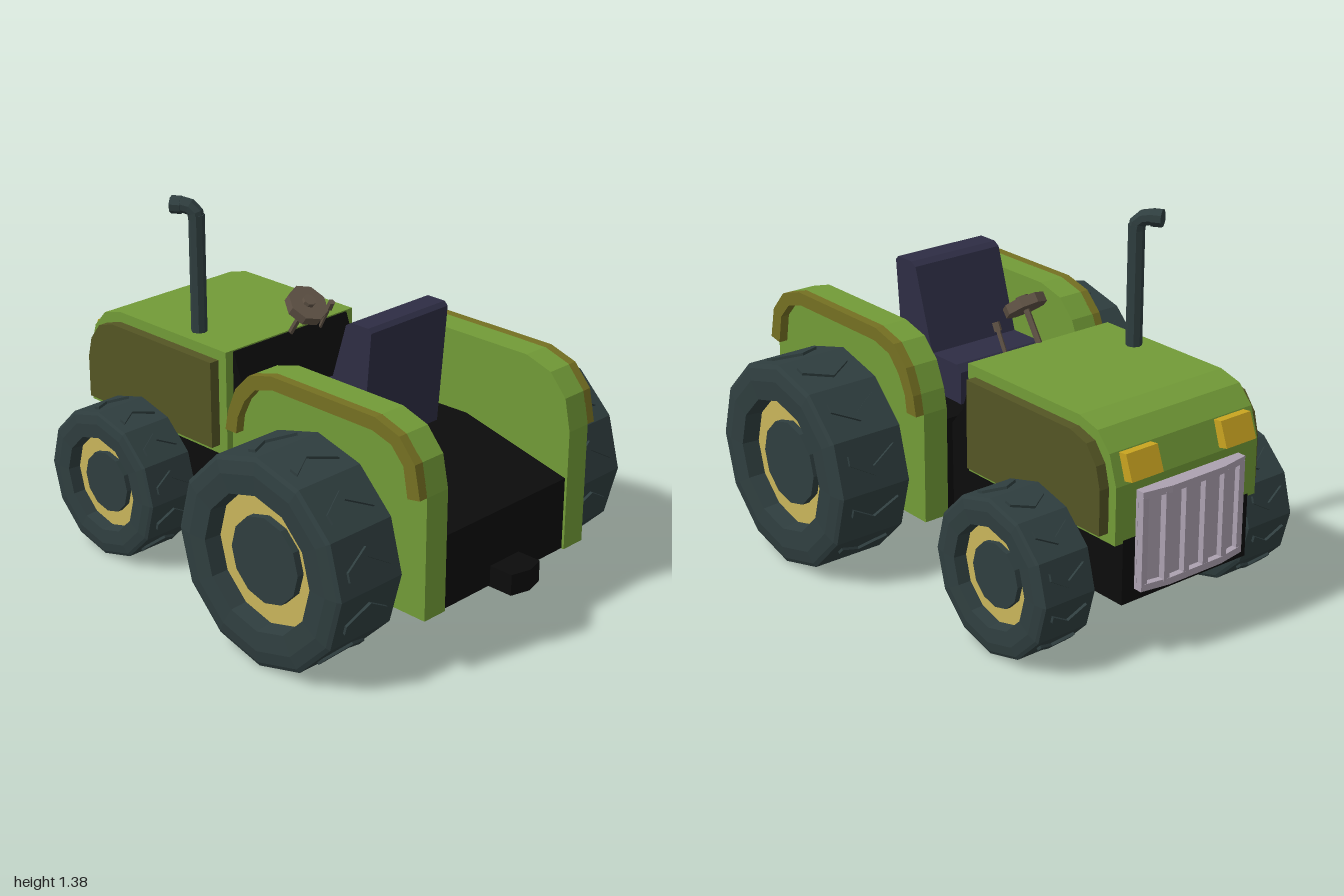
import * as THREE from 'three';
import { mergeGeometries } from 'three/addons/utils/BufferGeometryUtils.js';

const paint = (name, color) => {
  const m = new THREE.MeshStandardMaterial({ color });
  m.name = name;
  return m;
};
const GREEN = paint('bodyGreen', 0x729b37);
const OLIVE = paint('panelOlive', 0x545524);
const TRIM = paint('trimOlive', 0x757022);
const BLACK = paint('chassisBlack', 0x0c0c0c);
const RUBBER = paint('darkRubber', 0x2f3e3f);
const RIM = paint('rimYellow', 0xc9b55b);
const LAMP = paint('lampYellow', 0xc9a420);
const GRILLE = paint('grilleGrey', 0xaca1b0);
const SEAT = paint('seatNavy', 0x2e2d44);
const BROWN = paint('controlBrown', 0x5f5245);

// Faceted normals on the geometry itself
function flat(geo) {
  const g = geo.index ? geo.toNonIndexed() : geo;
  g.computeVertexNormals();
  return g;
}

function add(parent, name, geo, material) {
  const mesh = new THREE.Mesh(flat(geo), material);
  mesh.name = name;
  parent.add(mesh);
  return mesh;
}

function extrude(points, depth) {
  const shape = new THREE.Shape(points.map(([x, y]) => new THREE.Vector2(x, y)));
  return new THREE.ExtrudeGeometry(shape, { depth, bevelEnabled: false });
}

// Side profile of [z, y] points, running from x0 to x1
const sideProfile = (points, x0, x1) =>
  extrude(points.map(([z, y]) => [-z, y]), x1 - x0).rotateY(Math.PI / 2).translate(x0, 0, 0);

// Plan outline of [x, z] points, running from y0 to y1
const planProfile = (points, y0, y1) =>
  extrude(points.map(([x, z]) => [x, -z]), y1 - y0).rotateX(-Math.PI / 2).translate(0, y0, 0);

const box = (w, h, d, x, y, z) => new THREE.BoxGeometry(w, h, d).translate(x, y, z);

// Straight rod between two points
function rod(a, b, r, sides = 6) {
  const from = new THREE.Vector3(...a), dir = new THREE.Vector3(...b).sub(from);
  const geo = new THREE.CylinderGeometry(r, r, dir.length(), sides).translate(0, dir.length() / 2, 0);
  geo.applyQuaternion(new THREE.Quaternion().setFromUnitVectors(new THREE.Vector3(0, 1, 0), dir.normalize()));
  return geo.translate(...a);
}

function makeWheel(name, side, x, y, z, R, w) {
  const N = 12;
  const wheel = new THREE.Group();
  wheel.name = name;
  wheel.position.set(side * x, y, z);

  const half = [[1, 0.9], [0.96, 0.95], [0.84, 1], [0.65, 0.97], [0.63, 0.5]];
  const profile = [...half.map(([r, h]) => [r, -h]).reverse(), ...half]
    .map(([r, h]) => new THREE.Vector2(r * R, h * w));
  const turn = g => g.rotateZ(-side * Math.PI / 2);
  add(wheel, 'tyre', turn(new THREE.LatheGeometry(profile, N)), RUBBER);
  add(wheel, 'rim', turn(new THREE.CylinderGeometry(0.64 * R, 0.64 * R, 1.1 * w, N)), RIM);
  add(wheel, 'hub', turn(new THREE.CylinderGeometry(0.41 * R, 0.41 * R, 1.45 * w, N)), RUBBER);

  // Raised chevron on each flat of the tread
  const a = 0.62 * w, h = 0.12 * R, t = 0.09 * R;
  const outline = [[-a, -h], [0, h - t], [a, -h], [a, -h + t], [0, h], [-a, -h + t]];
  const lugs = [];
  for (let i = 0; i < N; i++) {
    lugs.push(extrude(outline, 0.02)
      .translate(0, 0, R * Math.cos(Math.PI / N) - 0.01)
      .rotateX(-(i + 0.5) * 2 * Math.PI / N));
  }
  add(wheel, 'treadLugs', mergeGeometries(lugs), RUBBER);
  return wheel;
}

export function createModel() {
  const tractor = new THREE.Group();
  tractor.name = 'tractor';

  // Chassis, floor, dashboard and hitch
  add(tractor, 'chassis', box(0.58, 0.24, 0.93, 0, 0.36, -0.48), BLACK);
  add(tractor, 'cabFloor', sideProfile(
    [[0.885, 0.245], [0.885, 0.52], [0.42, 0.63], [-0.03, 0.62], [-0.035, 0.245]], -0.32, 0.32), BLACK);
  add(tractor, 'dashboard', sideProfile(
    [[0, 0.245], [-0.03, 0.6], [-0.09, 0.67], [-0.165, 0.875], [-0.2, 0.875], [-0.2, 0.245]], -0.29, 0.29), BLACK);
  add(tractor, 'hitch', planProfile(
    [[-0.075, 0.8], [-0.075, 0.98], [0, 1], [0.075, 0.98], [0.075, 0.8]], 0.24, 0.32), BLACK);
  add(tractor, 'rearAxle', rod([-0.5, 0.4, 0.425], [0.5, 0.4, 0.425], 0.21, 12), BLACK);
  add(tractor, 'frontAxle', rod([-0.42, 0.3, -0.6], [0.42, 0.3, -0.6], 0.13, 12), BLACK);

  // Hood
  add(tractor, 'hood', sideProfile(
    [[-0.17, 0.47], [-0.17, 0.88], [-0.76, 0.88], [-0.85, 0.855], [-0.91, 0.79], [-0.945, 0.68], [-0.945, 0.47]],
    -0.325, 0.325), GREEN);

  const fender = [[0.895, 0.7], [0.87, 0.82], [0.8, 0.9], [0.69, 0.935], [0.2, 0.935],
    [0.09, 0.905], [0.02, 0.835], [-0.02, 0.74], [-0.035, 0.665]];
  const trimInner = [[0.02, 0.665], [0.03, 0.73], [0.065, 0.8], [0.12, 0.86], [0.21, 0.885],
    [0.68, 0.885], [0.765, 0.86], [0.82, 0.8], [0.84, 0.69]];
  const panel = [[-0.21, 0.505], [-0.21, 0.84], [-0.76, 0.84], [-0.84, 0.815], [-0.89, 0.75],
    [-0.91, 0.67], [-0.91, 0.505]];
  const lamp = [[-0.9, 0.785], [-0.945, 0.79], [-0.978, 0.7], [-0.93, 0.69]];

  for (const s of [1, -1]) {
    const prefix = s > 0 ? 'left' : 'right';
    const slab = (pts, x0, x1) => sideProfile(pts, s > 0 ? x0 : -x1, s > 0 ? x1 : -x0);
    add(tractor, prefix + 'HoodPanel', slab(panel, 0.32, 0.365), OLIVE);
    add(tractor, prefix + 'Headlamp', slab(lamp, 0.145, 0.285), LAMP);
    add(tractor, prefix + 'Fender', slab([[0.895, 0.243], ...fender, [-0.035, 0.243]], 0.318, 0.42), GREEN);
    add(tractor, prefix + 'FenderTrim', slab([...fender, ...trimInner], 0.418, 0.455), TRIM);
    tractor.add(makeWheel(prefix + 'LargeWheel', s, 0.588, 0.4, 0.42, 0.393, 0.158));
    tractor.add(makeWheel(prefix + 'SmallWheel', s, 0.468, 0.3, -0.6, 0.292, 0.117));
  }

  // Grille with bowed frame and upright slats
  const grille = new THREE.Group();
  grille.name = 'grille';
  tractor.add(grille);
  const bow = d => [[-0.235, -0.92], [-0.235, -0.963 - d], [-0.12, -0.982 - d], [0.12, -0.982 - d],
    [0.235, -0.963 - d], [0.235, -0.92]];
  add(grille, 'grilleBack', planProfile(bow(-0.008), 0.3, 0.64), GRILLE);
  add(grille, 'grilleTop', planProfile(bow(0.016), 0.625, 0.65), GRILLE);
  add(grille, 'grilleBottom', planProfile(bow(0.016), 0.285, 0.31), GRILLE);
  for (let i = 0; i < 6; i++) {
    const x = -0.222 + i * 0.0888;
    const z = -0.985 + Math.max(0, Math.abs(x) - 0.12) * 0.17;
    add(grille, 'grilleSlat', box(0.025, 0.33, 0.025, x, 0.467, z), GRILLE);
  }

  // Seat
  add(tractor, 'seat', sideProfile(
    [[0.385, 0.6], [0.425, 1.08], [0.41, 1.095], [0.33, 1.095], [0.305, 1.08], [0.21, 0.77],
      [0.065, 0.77], [0.04, 0.745], [0.04, 0.6]], -0.195, 0.195), SEAT);

  // Steering wheel, column and lever
  add(tractor, 'steeringColumn', rod([0, 0.84, -0.19], [0, 1.0, -0.085], 0.012), BROWN);
  add(tractor, 'steeringWheel', rod([0, 0.983, -0.097], [0, 1.012, -0.075], 0.08, 8), BROWN);
  add(tractor, 'steeringHub', rod([0, 1.0, -0.085], [0, 1.025, -0.068], 0.025, 8), BROWN);
  add(tractor, 'lever', rod([0.145, 0.83, -0.175], [0.145, 0.95, -0.11], 0.008), BROWN);
  add(tractor, 'leverKnob', rod([0.145, 0.94, -0.115], [0.145, 0.97, -0.1], 0.014), BROWN);

  // Exhaust stack with bent outlet
  add(tractor, 'exhaustStack', rod([-0.245, 0.8, -0.4], [-0.245, 1.33, -0.4], 0.03, 8), RUBBER);
  const bend = new THREE.CatmullRomCurve3([[-0.245, 1.31, -0.4], [-0.248, 1.342, -0.406],
    [-0.262, 1.36, -0.432], [-0.285, 1.36, -0.47]].map(p => new THREE.Vector3(...p)));
  add(tractor, 'exhaustBend', new THREE.TubeGeometry(bend, 4, 0.03, 8), RUBBER);
  add(tractor, 'exhaustTip', rod([-0.272, 1.36, -0.448], [-0.292, 1.36, -0.482], 0.033, 8), RUBBER);

  return tractor;
}
